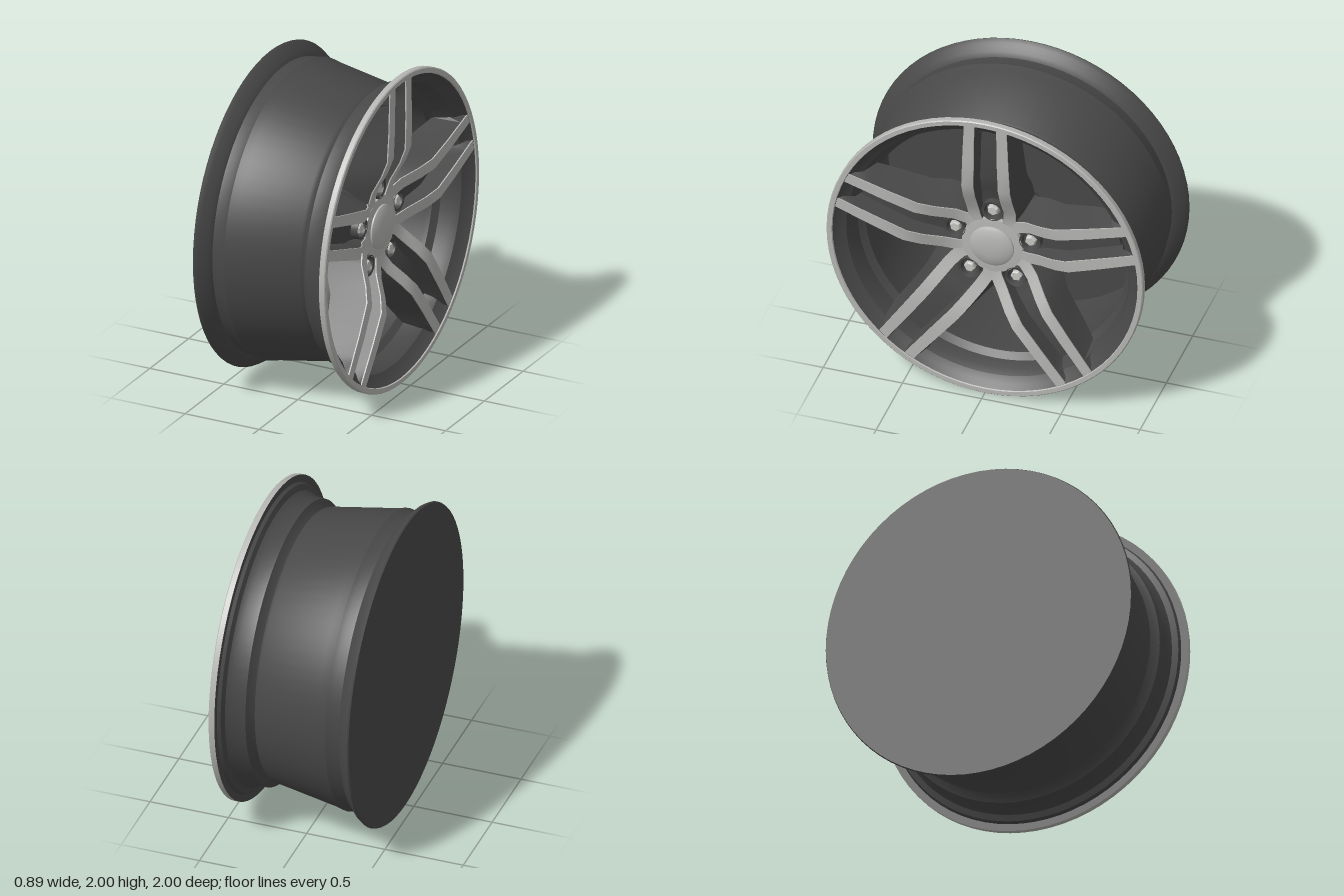
import * as THREE from 'three';
import { toCreasedNormals } from 'three/addons/utils/BufferGeometryUtils.js';

const mat = (name, color) => Object.assign(new THREE.MeshStandardMaterial({ color }), { name });

// Revolved part: profile of [radius, depth] points, axis along z
function turned(name, profile, material, segments = 72) {
  const pts = profile.map(([r, z]) => new THREE.Vector2(r, z));
  const geo = new THREE.LatheGeometry(pts, segments).rotateX(Math.PI / 2);
  const mesh = new THREE.Mesh(toCreasedNormals(geo, 0.5), material);
  mesh.name = name;
  return mesh;
}

// Lofted beam running along +y; each section is
// { y, top: [x0, x1], bottom: [x0, x1], zt, zb }
function loft(name, sections, material) {
  const loops = sections.map(({ y, top, bottom, zt, zb }) => [
    [top[0], y, zt], [top[1], y, zt], [bottom[1], y, zb], [bottom[0], y, zb],
  ]);
  const pos = [];
  const quad = (a, b, c, d) => pos.push(...a, ...b, ...c, ...a, ...c, ...d);
  for (let i = 0; i < loops.length - 1; i++) {
    for (let k = 0; k < 4; k++) {
      const n = (k + 1) % 4;
      quad(loops[i][k], loops[i][n], loops[i + 1][n], loops[i + 1][k]);
    }
  }
  const [a, b, c, d] = loops[0];
  quad(a, d, c, b);
  quad(...loops[loops.length - 1]);
  const geo = new THREE.BufferGeometry();
  geo.setAttribute('position', new THREE.Float32BufferAttribute(pos, 3));
  const mesh = new THREE.Mesh(toCreasedNormals(geo, 0.5), material);
  mesh.name = name;
  return mesh;
}

// Bar rows: radius, inner x, outer x, face depth, back depth, flare of the back
const BAR = [
  [0.12, 0.03, 0.09, 0.295, 0.15, 0.0],
  [0.20, 0.072, 0.148, 0.30, 0.12, 0.04],
  [0.28, 0.08, 0.155, 0.325, 0.12, 0.06],
  [0.40, 0.08, 0.155, 0.39, 0.15, 0.05],
  [0.50, 0.078, 0.153, 0.428, 0.19, 0.03],
  [0.70, 0.073, 0.145, 0.435, 0.22, 0.025],
  [0.83, 0.072, 0.14, 0.435, 0.26, 0.03],
  [0.87, 0.071, 0.138, 0.435, 0.36, 0.025],
  [0.93, 0.07, 0.136, 0.435, 0.405, 0.01],
  [0.97, 0.07, 0.135, 0.435, 0.415, 0.0],
];

// Pocket floor rows: radius, depth
const FLOOR = [[0.18, 0.25], [0.30, 0.25], [0.40, 0.28], [0.50, 0.31], [0.84, 0.31]];

const span = (s, a, b) => (s > 0 ? [a, b] : [-b, -a]);

function makeSpoke(dark, silver, steel) {
  const spoke = new THREE.Group();
  spoke.name = 'twinSpoke';
  for (const s of [-1, 1]) {
    // Dark flank and bright machined face
    spoke.add(loft('spokeBody', BAR.map(([y, xi, xo, z, zb, f]) => ({
      y, top: span(s, xi, xo), bottom: span(s, xi - 0.01, xo + f), zt: z - 0.008, zb,
    })), dark));
    spoke.add(loft('spokeFace', BAR.map(([y, xi, xo, z]) => ({
      y, top: span(s, xi, xo), bottom: span(s, xi, xo), zt: z, zb: z - 0.009,
    })), silver));
  }
  // Recess between the two bars
  spoke.add(loft('pocketFloor', FLOOR.map(([y, z]) => ({
    y, top: [-0.085, 0.085], bottom: [-0.085, 0.085], zt: z, zb: z - 0.05,
  })), dark));
  // Bolt in its seat
  const seat = turned('boltSeat', [
    [0.068, 0.22], [0.068, 0.30], [0.053, 0.295], [0.046, 0.262],
  ], dark, 24);
  const bolt = turned('wheelBolt', [
    [0.036, 0.23], [0.036, 0.285], [0.029, 0.295], [0, 0.295],
  ], steel, 6);
  seat.position.y = bolt.position.y = 0.25;
  spoke.add(seat, bolt);
  return spoke;
}

export function createModel() {
  const dark = mat('dark grey paint', 0x484848);
  const silver = mat('machined silver', 0xb6b6b4);
  const steel = mat('bolt steel', 0xc6c6c2);

  const wheel = new THREE.Group();
  wheel.name = 'wheel';

  // Barrel outside with the closed back
  wheel.add(turned('barrelOuter', [
    [0, -0.45], [0.995, -0.45], [1.0, -0.44], [0.985, -0.415], [0.965, -0.40],
    [0.945, -0.375], [0.915, -0.36], [0.918, -0.31], [0.928, -0.275],
    [0.915, -0.22], [0.845, 0.19], [0.83, 0.21], [0.85, 0.23], [0.882, 0.25],
    [0.888, 0.33], [0.91, 0.37], [0.945, 0.385], [0.955, 0.405], [1.0, 0.405],
  ], dark));

  // Bright front lip
  wheel.add(turned('rimLip', [
    [1.0, 0.405], [1.0, 0.438], [0.994, 0.444], [0.966, 0.444], [0.962, 0.436],
  ], silver));

  // Barrel inside, down to the back plate
  wheel.add(turned('barrelInner', [
    [0.962, 0.436], [0.935, 0.405], [0.895, 0.378], [0.873, 0.33], [0.862, 0.26],
    [0.825, 0.225], [0.825, 0.19], [0.895, -0.22], [0.90, -0.43], [0, -0.43],
  ], dark));

  // Hub web, hub face and domed centre cap
  wheel.add(turned('hubWeb', [
    [0, 0.05], [0.28, 0.05], [0.36, 0.09], [0.375, 0.13], [0.34, 0.18],
    [0.27, 0.245], [0.2, 0.27], [0, 0.27],
  ], dark));
  wheel.add(turned('hubFace', [
    [0.195, 0.26], [0.192, 0.298], [0.15, 0.302], [0, 0.302],
  ], silver));
  wheel.add(turned('centreCap', [
    [0.14, 0.29], [0.138, 0.311], [0.12, 0.322], [0.07, 0.333], [0, 0.337],
  ], silver, 40));

  // Five twin spokes
  for (let i = 0; i < 5; i++) {
    const spoke = makeSpoke(dark, silver, steel);
    spoke.rotation.z = (i * Math.PI * 2) / 5;
    wheel.add(spoke);
  }

  // Stand the wheel up with its face towards +x
  wheel.rotation.y = Math.PI / 2;
  wheel.position.y = 1;
  const model = new THREE.Group();
  model.name = 'alloyWheel';
  model.add(wheel);
  return model;
}
